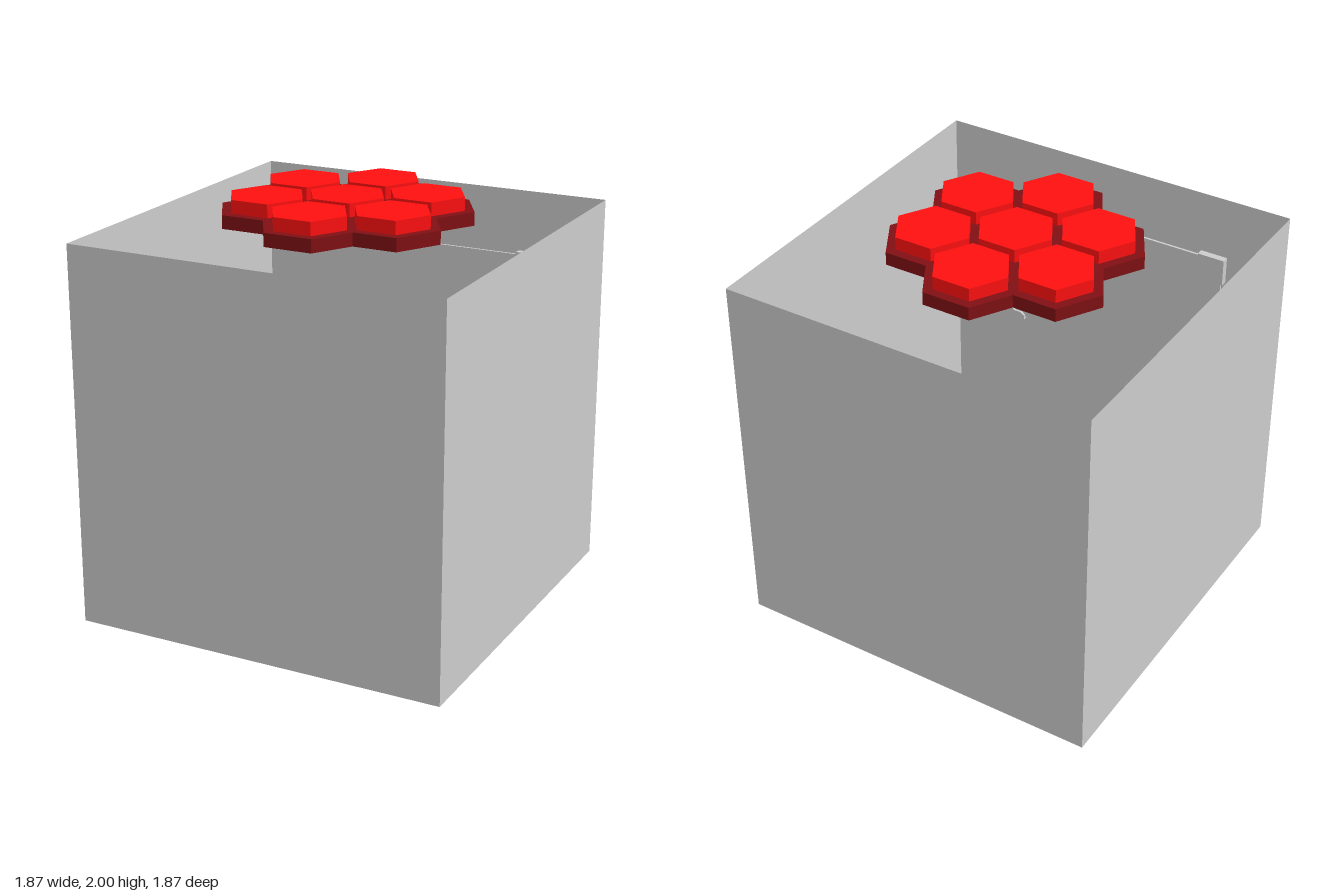
import * as THREE from 'three';

const grey = new THREE.MeshStandardMaterial({ color: 0xcccccc, flatShading: true });
const greyThin = new THREE.MeshStandardMaterial({ color: 0xcccccc, flatShading: true, side: THREE.DoubleSide });
const red = new THREE.MeshStandardMaterial({ color: 0xff1010, flatShading: true });
const darkRed = new THREE.MeshStandardMaterial({ color: 0x801014, flatShading: true });

const W = 1.87; // room width, depth and height

function add(parent, name, geometry, material, x = 0, y = 0, z = 0) {
  const mesh = new THREE.Mesh(geometry, material);
  mesh.name = name;
  mesh.position.set(x, y, z);
  parent.add(mesh);
  return mesh;
}

// Hexagonal prism with corners on the x axis
function hexPrism(rTop, rBottom, height) {
  return new THREE.CylinderGeometry(rTop, rBottom, height, 6).rotateY(Math.PI / 6);
}

// Floor and four thin walls, open at the top
function createRoom() {
  const room = new THREE.Group();
  room.name = 'room';
  const plane = new THREE.PlaneGeometry(W, W);
  add(room, 'floor', plane, greyThin).rotation.x = -Math.PI / 2;
  for (let i = 0; i < 4; i++) {
    const a = i * Math.PI / 2;
    const wall = add(room, 'wall', plane, greyThin, Math.sin(a) * W / 2, W / 2, Math.cos(a) * W / 2);
    wall.rotation.y = a;
  }
  return room;
}

// Seven two-step hexagonal lamps in a honeycomb
function createCeilingLight() {
  const light = new THREE.Group();
  light.name = 'ceilingLight';
  const base = hexPrism(0.24, 0.24, 0.065);
  const lamp = hexPrism(0.19, 0.19, 0.065);
  for (let i = 0; i < 7; i++) {
    const r = i === 0 ? 0 : 0.375;
    const a = i * Math.PI / 3;
    const x = Math.sin(a) * r, z = Math.cos(a) * r;
    add(light, 'lampBase', base, darkRed, x, 1.9025, z);
    add(light, 'lamp', lamp, red, x, 1.9675, z);
  }
  return light;
}

// Tapered hexagonal table with small cups near its rim
function createTable() {
  const table = new THREE.Group();
  table.name = 'table';
  const h = 0.3;
  add(table, 'tableBody', hexPrism(0.53, 0.575, h), grey, 0, h / 2, 0);
  const cup = new THREE.LatheGeometry(
    [[0, 0], [0.02, 0], [0.025, 0.05], [0.017, 0.05], [0.015, 0.01], [0, 0.01]]
      .map(([x, y]) => new THREE.Vector2(x, y)), 8);
  for (const [x, z] of [[-0.47, 0.01], [0.47, -0.03], [-0.2, -0.42]]) {
    add(table, 'cup', cup, greyThin, x, h, z);
  }
  return table;
}

// Thin wall panel held by L-shaped corner brackets
function createWallPanel() {
  const panel = new THREE.Group();
  panel.name = 'wallPanel';
  const w = 1.24, h = 0.7, arm = 0.14, t = 0.04;
  add(panel, 'screen', new THREE.BoxGeometry(w, h, 0.012), grey);
  const shape = new THREE.Shape([
    [0, 0], [arm, 0], [arm, t * 0.6], [arm - 0.02, t], [t * 2, t],
    [t, t * 2], [t, arm - 0.02], [t * 0.6, arm], [0, arm],
  ].map(([x, y]) => new THREE.Vector2(x, y)));
  const bracket = new THREE.ExtrudeGeometry(shape, { depth: 0.036, bevelEnabled: false })
    .translate(-0.015, -0.015, -0.018);
  for (let i = 0; i < 4; i++) {
    // rotate about z for the diagonal pair, flip about an axis for the others
    const sx = i & 1 ? 1 : -1, sy = i & 2 ? 1 : -1;
    const corner = add(panel, 'cornerBracket', bracket, grey, sx * w / 2, sy * h / 2, 0);
    corner.rotation.set(sy > 0 ? Math.PI : 0, sx > 0 ? Math.PI : 0, 0);
  }
  panel.position.set(0, 1.2, -0.9);
  return panel;
}

export function createModel() {
  const model = new THREE.Group();
  model.name = 'hexLitRoom';
  model.add(createRoom(), createCeilingLight(), createTable());

  // Panel and corner cabinet repeat by a half turn
  for (let i = 0; i < 2; i++) {
    const side = new THREE.Group();
    side.name = i ? 'frontFurniture' : 'backFurniture';
    side.rotation.y = i * Math.PI;
    side.add(createWallPanel());
    add(side, 'cabinet', new THREE.BoxGeometry(0.3, 0.4, 0.6), grey, 0.735, 0.2, -0.595);
    model.add(side);
  }
  return model;
}
